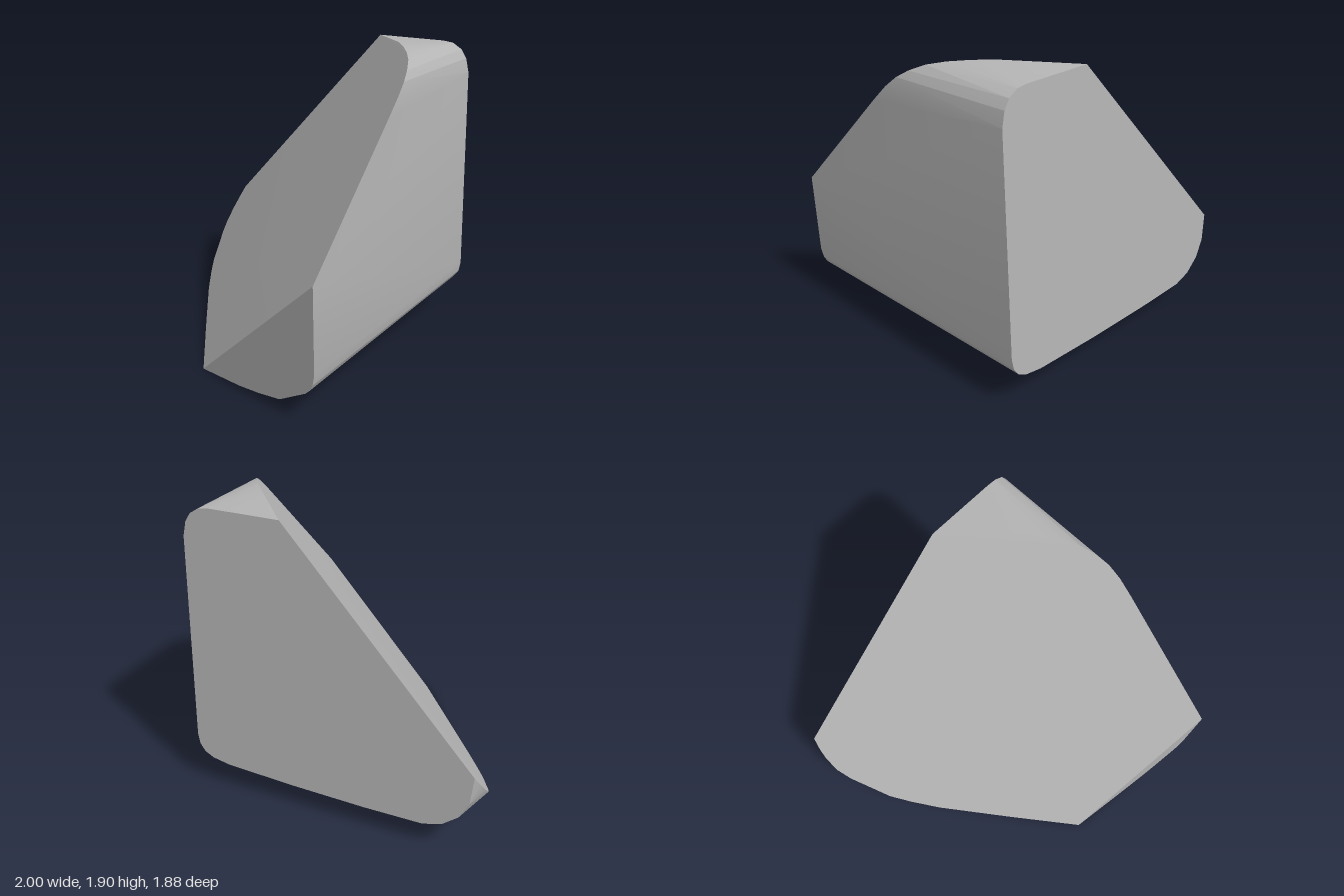
import * as THREE from 'three';
import { ConvexGeometry } from 'three/addons/geometries/ConvexGeometry.js';
import { toCreasedNormals } from 'three/addons/utils/BufferGeometryUtils.js';

// Depth of each of the three flat faces at a given x, y
const backZ = (x, y) => -0.906 - 0.0635 * x + 0.0511 * y;
const slopeZ = (x, y) => (1.045 + 1.46 * x - 1.3625 * y) / 1.426;
const frontZ = (x, y) => 0.935 - 0.05 * (0.86 - y) - 0.089 * (1 - x);

const onFace = (outline, depth) =>
  outline.map(([x, y]) => new THREE.Vector3(x, y, depth(x, y)));

export function createModel() {
  const group = new THREE.Group();
  group.name = 'cutBlock';
  const stone = new THREE.MeshStandardMaterial({ color: 0xb4b4b4 });
  stone.name = 'plain grey';

  // Back face with rounded corners
  const back = onFace([
    [0.24, 1.89], [0.7, 1.89], [0.77, 1.882], [0.83, 1.845], [0.865, 1.79], [0.885, 1.7],
    [0.888, 0.36], [0.875, 0.29], [0.84, 0.24], [0.78, 0.208], [0.66, 0.187], [0.2, 0.168],
    [-0.3, 0.16], [-0.68, 0.165], [-0.8, 0.2], [-0.9, 0.28], [-0.96, 0.39], [-0.98, 0.57],
  ], backZ);

  // Curved edges of the large sloping face
  const slope = onFace([
    [0.4, 1.9], [0.58, 1.91], [0.68, 1.905], [0.77, 1.89], [0.84, 1.865], [0.89, 1.82],
    [0.92, 1.77], [0.938, 1.7], [0.948, 1.6],
    [-0.995, 0.49], [-1, 0.42], [-0.99, 0.34], [-0.955, 0.28], [-0.82, 0.155],
    [-0.73, 0.12], [-0.6, 0.085], [-0.25, 0.04],
  ], slopeZ);

  // Small front face
  const front = onFace([
    [0.08, 0.005], [0.4, 0.018], [0.56, 0.037], [0.73, 0.068], [0.93, 0.19],
    [0.965, 0.225], [0.985, 0.265], [0.998, 0.33], [1, 0.86],
  ], frontZ);

  const hull = new ConvexGeometry([...back, ...slope, ...front]);
  const block = new THREE.Mesh(toCreasedNormals(hull, 0.2), stone);
  block.name = 'block';
  group.add(block);
  return group;
}
